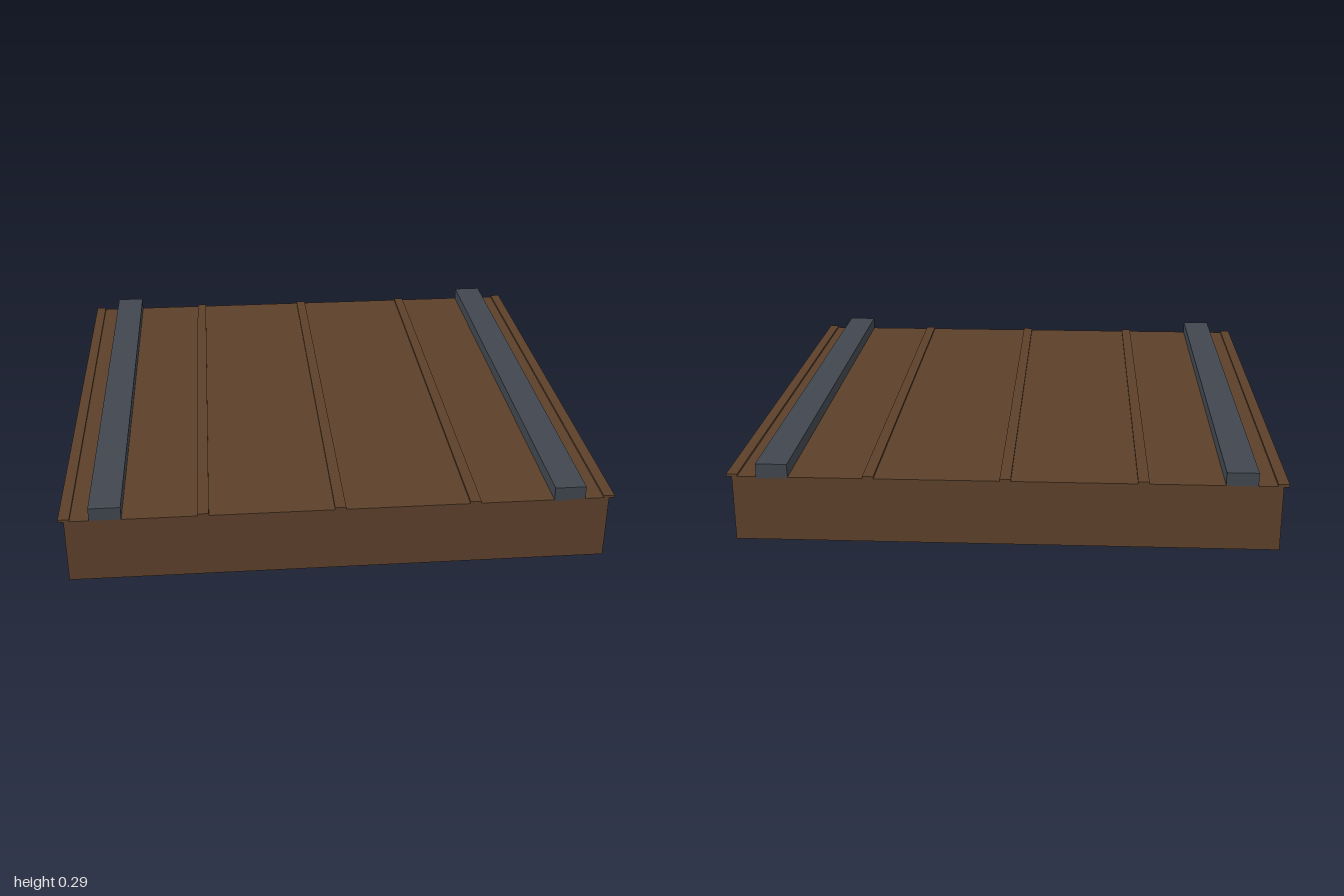
import * as THREE from 'three';

const LENGTH = 1.96;

export function createModel() {
  const model = new THREE.Group();
  model.name = 'slab';

  const wood = new THREE.MeshStandardMaterial({ color: 0x5c402a });
  wood.name = 'brown';
  const steel = new THREE.MeshStandardMaterial({ color: 0x40464f });
  steel.name = 'slate grey';

  // Full-length bar spanning bottom..top, centred on x
  function bar(name, material, x, width, bottom, top) {
    const mesh = new THREE.Mesh(new THREE.BoxGeometry(width, top - bottom, LENGTH), material);
    mesh.position.set(x, (bottom + top) / 2, 0);
    mesh.name = name;
    model.add(mesh);
  }

  // Main slab
  bar('base', wood, 0, 1.96, 0, 0.245);

  // Thin seam battens, the outer two overhanging the sides
  for (let i = -2; i <= 2; i++) bar('seamBatten', wood, i * 0.49, 0.04, 0.243, 0.253);

  // Raised rails
  bar('leftRail', steel, 0.835, 0.114, 0.238, 0.294);
  bar('rightRail', steel, -0.835, 0.114, 0.238, 0.294);

  return model;
}
